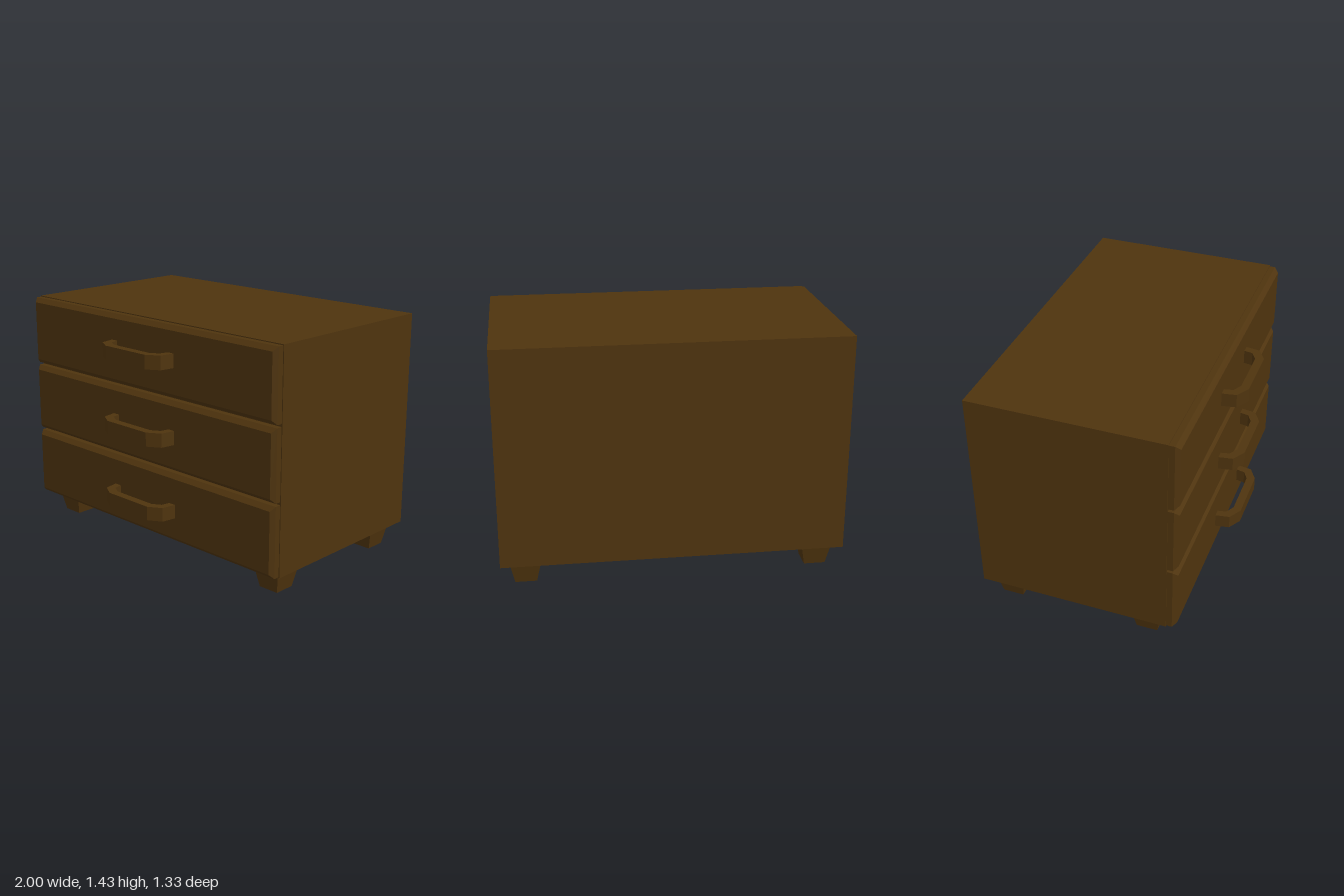
import * as THREE from 'three';

const wood = new THREE.MeshStandardMaterial({ color: 0x4f340e });

function addMesh(parent, name, geometry, x, y, z) {
  const mesh = new THREE.Mesh(geometry, wood);
  mesh.name = name;
  mesh.position.set(x, y, z);
  parent.add(mesh);
}

// Moves the vertices of a geometry by a rule and gives it flat facets
function reshape(geometry, rule) {
  const g = geometry.toNonIndexed();
  const p = g.attributes.position;
  const v = new THREE.Vector3();
  for (let i = 0; i < p.count; i++) {
    rule(v.fromBufferAttribute(p, i));
    p.setXYZ(i, v.x, v.y, v.z);
  }
  g.computeVertexNormals();
  return g;
}

// Drawer front: straight sides, then a chamfer around the face
function drawerGeometry(w, h, d, chamfer) {
  return reshape(new THREE.BoxGeometry(w, h, d, 1, 1, 2), (v) => {
    if (Math.abs(v.z) < 1e-6) v.z = d / 2 - chamfer;
    else if (v.z > 0) {
      v.x -= Math.sign(v.x) * 0.02;
      v.y -= Math.sign(v.y) * chamfer;
    }
  });
}

// Square foot narrowing towards the floor
function footGeometry(top, bottom, h) {
  return reshape(new THREE.BoxGeometry(top, h, top), (v) => {
    if (v.y < 0) {
      v.x *= bottom / top;
      v.z *= bottom / top;
    }
  });
}

// Bow handle: half outline mirrored across x, extruded upwards
function handleGeometry(h) {
  const outer = [[0.257, 0], [0.243, 0.085], [0.163, 0.132]];
  const inner = [[0.148, 0.083], [0.202, 0.052], [0.212, 0]];
  const mirror = (pts) => pts.map(([x, z]) => [-x, z]).reverse();
  const outline = [...outer, ...mirror(outer), ...mirror(inner), ...inner];
  const shape = new THREE.Shape(outline.map(([x, z]) => new THREE.Vector2(x, -z)));
  const g = new THREE.ExtrudeGeometry(shape, { depth: h, bevelEnabled: false });
  g.translate(0, 0, -h / 2);
  g.rotateX(-Math.PI / 2);
  return g;
}

export function createModel() {
  const model = new THREE.Group();
  model.name = 'chestOfDrawers';

  // Cabinet
  addMesh(model, 'cabinet', new THREE.BoxGeometry(2, 1.29, 1.14), 0, 0.785, -0.095);

  // Drawers with handles
  const drawer = drawerGeometry(1.99, 0.415, 0.06, 0.026);
  const handle = handleGeometry(0.083);
  [[0.353, 0.338], [0.785, 0.783], [1.217, 1.23]].forEach(([y, handleY], i) => {
    const group = new THREE.Group();
    group.name = `drawer${i + 1}`;
    addMesh(group, 'drawerFront', drawer, 0, y, 0.505);
    addMesh(group, 'handle', handle, 0, handleY, 0.534);
    model.add(group);
  });

  // Feet
  const foot = footGeometry(0.182, 0.126, 0.14);
  for (const [side, x] of [['Left', 0.857], ['Right', -0.857]]) {
    addMesh(model, `front${side}Foot`, foot, x, 0.07, 0.334);
    addMesh(model, `back${side}Foot`, foot, x, 0.07, -0.52);
  }

  return model;
}
